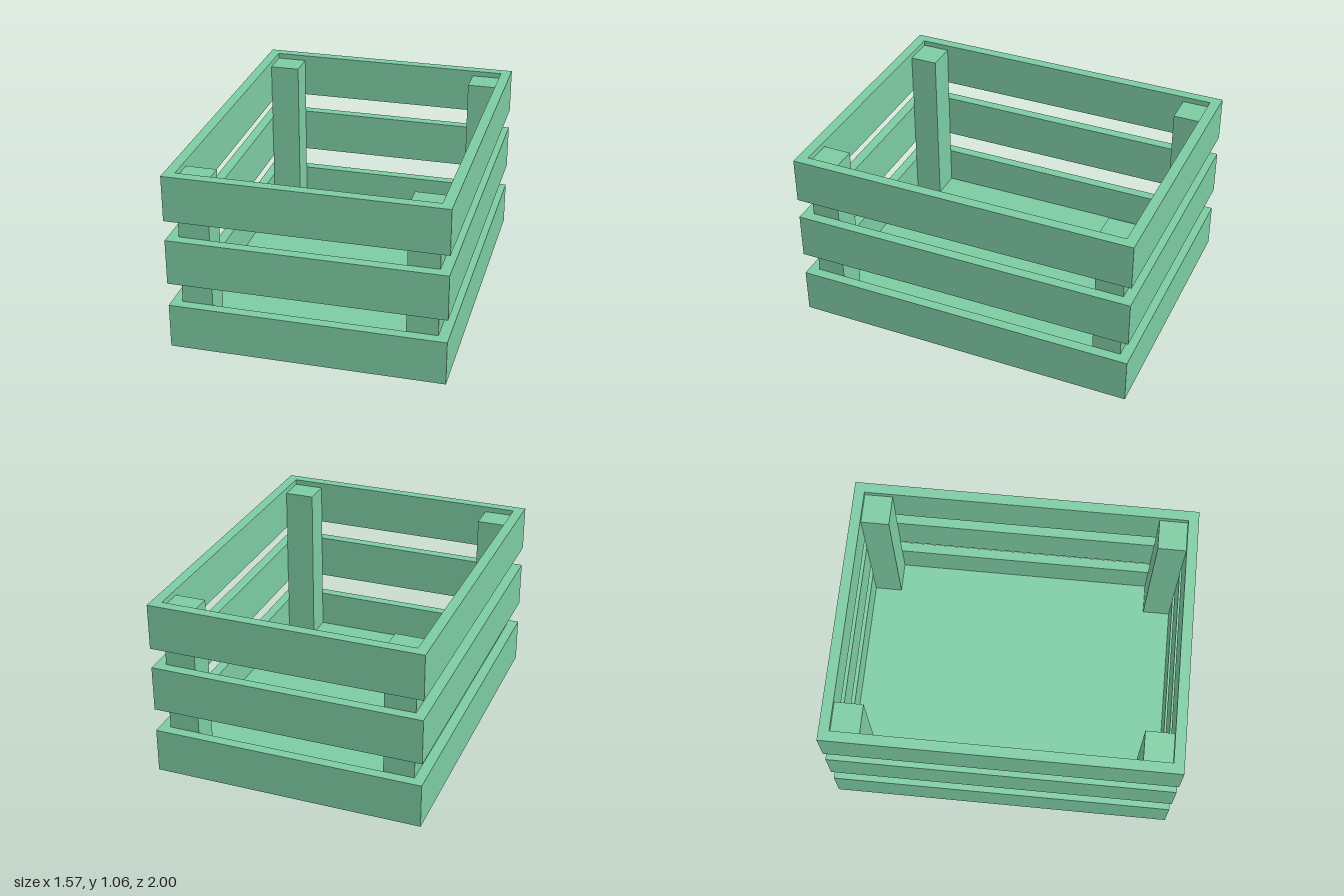
import * as THREE from 'three';

export function createModel() {
  const crate = new THREE.Group();
  crate.name = 'slattedCrate';
  const material = new THREE.MeshStandardMaterial({ color: 0x7ccaa2, flatShading: true });

  // Box given by its lower and upper corners
  function block(name, [x0, y0, z0], [x1, y1, z1]) {
    const mesh = new THREE.Mesh(new THREE.BoxGeometry(x1 - x0, y1 - y0, z1 - z0), material);
    mesh.position.set((x0 + x1) / 2, (y0 + y1) / 2, (z0 + z1) / 2);
    mesh.name = name;
    crate.add(mesh);
  }

  const outX = 0.785, outZ = 1; // outer faces of the slats
  const inX = 0.725, inZ = 0.94; // inner faces of the slats

  block('floor', [-inX, 0, -inZ], [inX, 0.05, inZ]);

  // Three rows of slats; the end slats cover the ends of the side slats
  for (const [low, high] of [[0.01, 0.272], [0.41, 0.677], [0.796, 1.062]]) {
    block('frontSlat', [-outX, low, inZ], [outX, high, outZ]);
    block('backSlat', [-outX, low, -outZ], [outX, high, -inZ]);
    block('leftSlat', [inX, low, -inZ], [outX, high, inZ]);
    block('rightSlat', [-outX, low, -inZ], [-inX, high, inZ]);
  }

  // Corner posts inside the slats, a little lower than the rim
  const postX = 0.548, postZ = 0.777, postTop = 1.03;
  for (const [side, x0, x1] of [['Left', postX, inX], ['Right', -inX, -postX]]) {
    block('front' + side + 'Post', [x0, 0.04, postZ], [x1, postTop, inZ]);
    block('back' + side + 'Post', [x0, 0.04, -inZ], [x1, postTop, -postZ]);
  }

  return crate;
}
